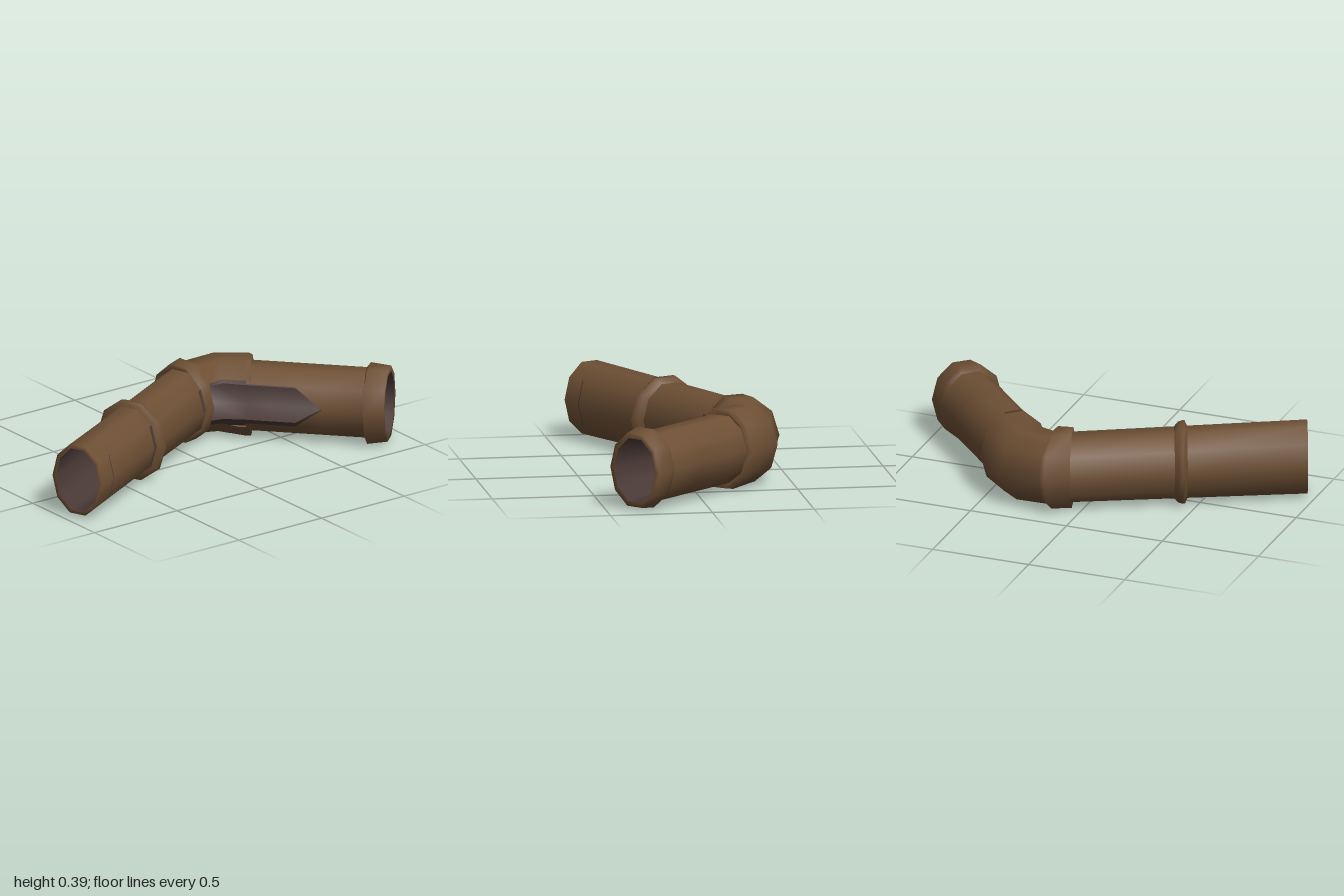
import * as THREE from 'three';

const SIDES = 10;
const MID_Y = 0.195;

// Each section is [outerX, outerZ, innerX, innerZ, halfHeight]: a ten-sided ring
// spanning the two sides of the bend. keep(i, j) returns true for a whole panel,
// 'a' or 'b' for one torn triangle of it, false for none.
function loft(name, sections, material, keep = () => true) {
  const pos = [], index = [];
  for (const [ox, oz, ix, iz, h] of sections) {
    const cx = (ox + ix) / 2, cz = (oz + iz) / 2;
    for (let j = 0; j < SIDES; j++) {
      const a = (j / SIDES) * Math.PI * 2;
      pos.push(
        cx + (ox - cx) * Math.cos(a),
        MID_Y + (h * Math.sin(a)) / Math.sin(Math.PI * 0.4),
        cz + (oz - cz) * Math.cos(a));
    }
  }
  for (let i = 0; i < sections.length - 1; i++) {
    for (let j = 0; j < SIDES; j++) {
      const k = keep(i, j);
      if (!k) continue;
      const a = i * SIDES + j, b = i * SIDES + (j + 1) % SIDES;
      const c = a + SIDES, d = b + SIDES;
      if (k === true) index.push(a, b, c, b, d, c);
      else if (k === 'a') index.push(a, d, c);
      else index.push(b, d, c);
    }
  }
  const g = new THREE.BufferGeometry();
  g.setAttribute('position', new THREE.Float32BufferAttribute(pos, 3));
  g.setIndex(index);
  g.computeVertexNormals();
  const mesh = new THREE.Mesh(g, material);
  mesh.name = name;
  return mesh;
}

const mix = (s, e, t) => s.map((v, i) => v + (e[i] - v) * t);

// Grow (or shrink) a section by a distance
function offset([ox, oz, ix, iz, h], d) {
  const l = Math.hypot(ox - ix, oz - iz);
  const ux = ((ox - ix) / l) * d, uz = ((oz - iz) / l) * d;
  return [ox + ux, oz + uz, ix - ux, iz - uz, h + d];
}

// Torn opening on the inside of the bend, ending in a jagged notch
const torn = (from, to) => (i, j) => {
  if ((j !== 4 && j !== 5) || i < from || i > to) return true;
  if (i < to) return false;
  return j === 4 ? 'a' : 'b';
};

export function createModel() {
  const rust = new THREE.MeshStandardMaterial({ color: 0x6e5035, side: THREE.DoubleSide });
  rust.name = 'rusty brown';
  const dark = new THREE.MeshStandardMaterial({ color: 0x4b3a37, side: THREE.DoubleSide });
  dark.name = 'dark corrosion';

  const group = new THREE.Group();
  group.name = 'pipeElbow';

  // Long straight pipe with its open mouth
  const longA = [-1, 0.16, -0.89, 0.42, 0.177];
  const longB = [0.05, -0.41, 0.17, -0.12, 0.165];
  group.add(loft('longPipe', [offset(longA, -0.02), longA, mix(longA, longB, 0.5), longB], rust));

  // Thin coupling ring halfway along the long pipe
  const ringAt = (t, grow) => offset(mix(longA, longB, t), grow);
  group.add(loft('couplingRing', [
    ringAt(0.492, 0), ringAt(0.502, 0.026), ringAt(0.512, 0.045),
    ringAt(0.53, 0.02), ringAt(0.545, 0),
  ].map((s, i) => (i === 2 ? [...s.slice(0, 4), 0.195] : s)), rust));

  // Elbow with a flared collar at each end
  group.add(loft('elbow', [
    [0.04, -0.385, 0.12, -0.14, 0.16],
    [0.02, -0.405, 0.11, -0.1, 0.193],
    [0.13, -0.47, 0.165, -0.09, 0.193],
    [0.16, -0.455, 0.18, -0.12, 0.172],
    [0.38, -0.42, 0.24, -0.12, 0.185],
    [0.54, -0.27, 0.28, -0.045, 0.195],
    [0.52, -0.24, 0.325, -0.02, 0.193],
    [0.515, -0.25, 0.33, -0.02, 0.165],
  ], rust, torn(3, 7)));

  // Short straight pipe, torn open near the elbow
  const shortA = [0.5, -0.27, 0.31, -0.03, 0.165];
  const shortB = [0.94, 0.2, 0.72, 0.41, 0.165];
  const shortSections = [0, 0.2, 0.4, 0.62, 1].map((t) => mix(shortA, shortB, t));
  group.add(loft('shortPipe', shortSections, rust, torn(0, 2)));

  // Flared collar at the mouth of the short pipe
  const mouth = [1, 0.26, 0.775, 0.465, 0.18];
  group.add(loft('endCollar', [
    [0.91, 0.17, 0.71, 0.385, 0.165],
    [0.935, 0.185, 0.69, 0.41, 0.193],
    mouth,
    offset(mouth, -0.025),
  ], rust));

  // Dark lining running through the whole pipe
  group.add(loft('lining', [
    offset(longA, -0.02),
    offset(longB, -0.02),
    [0.37, -0.4, 0.25, -0.12, 0.15],
    ...shortSections.map((s) => offset(s, -0.02)),
    offset(mouth, -0.025),
  ], dark, torn(1, 5)));

  // Corroded patches: thin strips on the front of the long pipe
  for (const [t0, t1] of [[0.095, 0.1], [0.472, 0.49], [0.925, 0.945]]) {
    group.add(loft('corrosionPatch', [ringAt(t0, 0.003), ringAt(t1, 0.003)], dark,
      (i, j) => j === 4 || (j === 5 && t0 < 0.9)));
  }
  return group;
}
